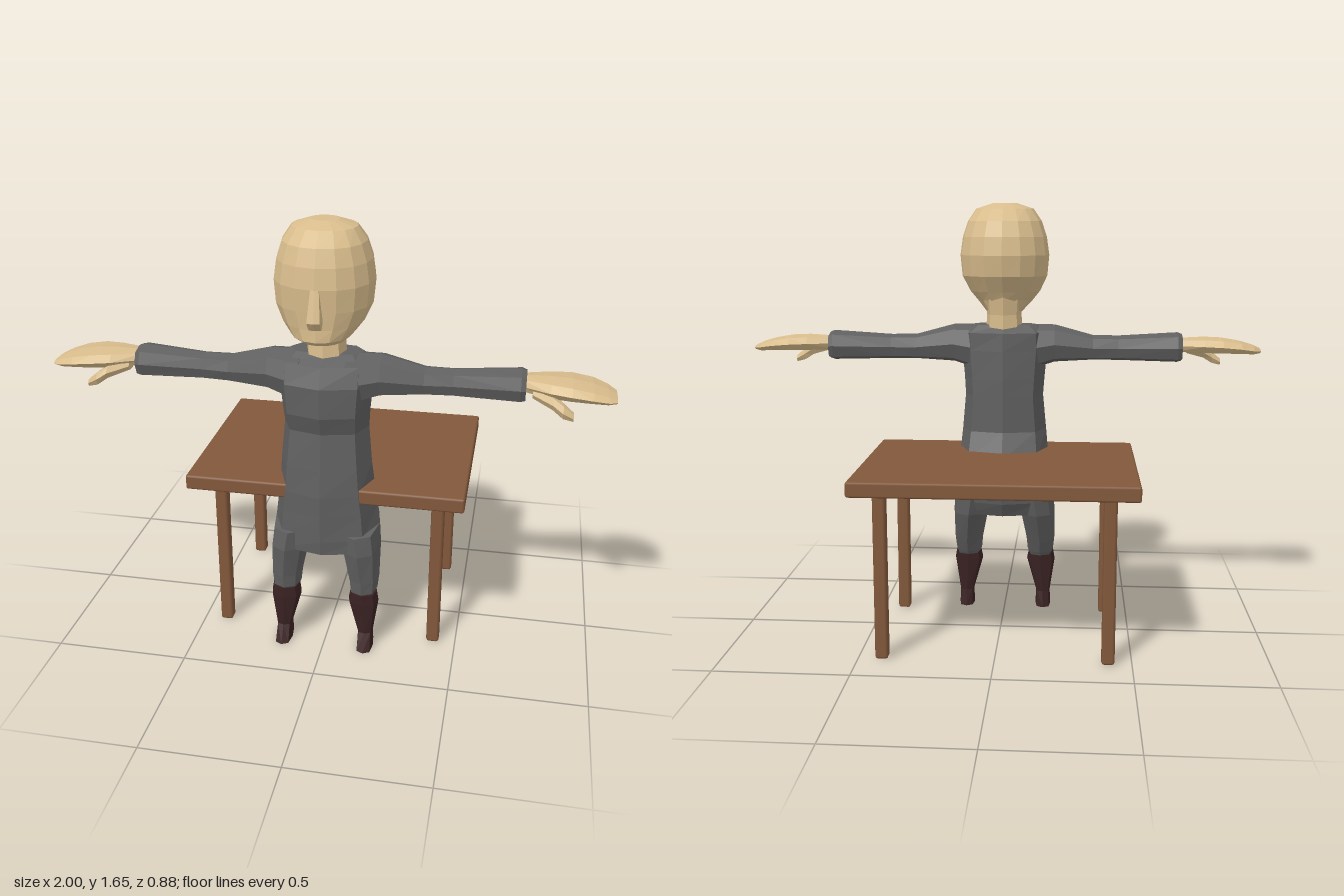
import * as THREE from 'three';
import { RoundedBoxGeometry } from 'three/addons/geometries/RoundedBoxGeometry.js';

const mat = (name, color) => {
  const m = new THREE.MeshStandardMaterial({ color });
  m.name = name;
  return m;
};

// Faceted solid through rounded sections stacked along y, lowest first.
// Section: [y, xLow, xHigh, zLow, zHigh, tilt]; power < 1 makes it boxier.
function loft(sections, sides = 8, power = 0.8) {
  const bend = (v) => Math.sign(v) * Math.pow(Math.abs(v) < 1e-6 ? 0 : Math.abs(v), power);
  const rings = sections.map(([y, x0, x1, z0, z1, tilt = 0]) =>
    Array.from({ length: sides }, (_, i) => {
      const a = (i / sides) * Math.PI * 2;
      const dz = (bend(Math.cos(a)) * (z1 - z0)) / 2;
      return [(x0 + x1) / 2 + (bend(Math.sin(a)) * (x1 - x0)) / 2, y + tilt * dz, (z0 + z1) / 2 + dz];
    }));
  const mid = ([y, x0, x1, z0, z1]) => [(x0 + x1) / 2, y, (z0 + z1) / 2];
  const bottom = mid(sections[0]);
  const top = mid(sections[sections.length - 1]);
  const last = rings[rings.length - 1];
  const pos = [];
  for (let i = 0; i < sides; i++) {
    const j = (i + 1) % sides;
    for (let k = 0; k + 1 < rings.length; k++) {
      const lo = rings[k], hi = rings[k + 1];
      pos.push(...lo[i], ...lo[j], ...hi[j], ...lo[i], ...hi[j], ...hi[i]);
    }
    pos.push(...bottom, ...rings[0][j], ...rings[0][i], ...top, ...last[i], ...last[j]);
  }
  const g = new THREE.BufferGeometry();
  g.setAttribute('position', new THREE.Float32BufferAttribute(pos, 3));
  g.computeVertexNormals();
  return g;
}

// Same solid running along +x; section: [x, yLow, yHigh, zLow, zHigh]
const loftX = (sections, sides, power) =>
  loft(sections.map(([x, y0, y1, z0, z1]) => [x, -y1, -y0, z0, z1]), sides, power).rotateZ(-Math.PI / 2);

// Copy reflected in x, with the corner order put right
function mirrorX(geometry) {
  const g = geometry.clone().scale(-1, 1, 1);
  const p = g.attributes.position;
  for (let i = 0; i < p.count; i += 3) {
    const b = [p.getX(i + 1), p.getY(i + 1), p.getZ(i + 1)];
    p.setXYZ(i + 1, p.getX(i + 2), p.getY(i + 2), p.getZ(i + 2));
    p.setXYZ(i + 2, ...b);
  }
  g.computeVertexNormals();
  return g;
}

export function createModel() {
  const model = new THREE.Group();
  model.name = 'figureAtTable';
  const skin = mat('skin', 0xd8bc8c);
  const cloth = mat('grey cloth', 0x606060);
  const wood = mat('wood', 0x82583b);
  const leather = mat('dark leather', 0x3a2223);

  const add = (name, geometry, material, parent = model) => {
    const m = new THREE.Mesh(geometry, material);
    m.name = name;
    parent.add(m);
    return m;
  };
  const pair = (name, geometry, material) => {
    add('left' + name, geometry, material);
    add('right' + name, mirrorX(geometry), material);
  };

  // Table
  const table = new THREE.Group();
  table.name = 'table';
  model.add(table);
  add('tableTop', new RoundedBoxGeometry(1.03, 0.056, 0.76, 1, 0.008), wood, table).position.set(0, 0.657, -0.06);
  for (const x of [-0.413, 0.413])
    for (const z of [-0.333, 0.198])
      add('tableLeg', new RoundedBoxGeometry(0.048, 0.62, 0.048, 1, 0.01), wood, table).position.set(x, 0.31, z);

  // Torso and hips
  add('torso', loft([
    [0.425, -0.2, 0.2, 0.09, 0.355],
    [0.48, -0.2, 0.2, 0.06, 0.36],
    [0.58, -0.19, 0.19, 0.04, 0.36],
    [0.66, -0.178, 0.178, 0.055, 0.36],
    [0.76, -0.168, 0.168, 0.1, 0.35],
    [0.9, -0.155, 0.155, 0.1, 0.335],
    [0.97, -0.16, 0.16, 0.1, 0.36],
    [1.08, -0.17, 0.17, 0.105, 0.36],
    [1.15, -0.17, 0.17, 0.11, 0.33],
    [1.18, -0.13, 0.13, 0.15, 0.27],
  ]), cloth);

  // Trouser legs and boots
  pair('Trouser', loft([
    [0.235, 0.1, 0.195, 0.185, 0.31],
    [0.25, 0.095, 0.2, 0.175, 0.33],
    [0.3, 0.09, 0.205, 0.15, 0.337],
    [0.425, 0.065, 0.206, 0.09, 0.357],
    [0.5, 0.05, 0.198, 0.075, 0.352],
  ]), cloth);
  pair('Boot', loft([
    [0, 0.128, 0.19, 0.218, 0.345],
    [0.065, 0.13, 0.187, 0.23, 0.307],
    [0.2, 0.092, 0.207, 0.218, 0.32],
    [0.24, 0.1, 0.2, 0.215, 0.32],
  ], 8, 0.65), leather);

  // Sleeves
  pair('Sleeve', loftX([
    [0.08, 0.99, 1.18, 0.13, 0.335],
    [0.2, 1.03, 1.178, 0.145, 0.305],
    [0.35, 1.04, 1.138, 0.163, 0.272],
    [0.45, 1.04, 1.137, 0.165, 0.262],
    [0.68, 1.035, 1.152, 0.14, 0.275],
    [0.697, 1.04, 1.145, 0.145, 0.27],
  ]), cloth);

  // Hands and thumbs
  pair('Hand', loftX([
    [0.68, 1.075, 1.13, 0.16, 0.25],
    [0.78, 1.07, 1.135, 0.128, 0.3],
    [0.85, 1.07, 1.132, 0.112, 0.318],
    [0.92, 1.07, 1.12, 0.115, 0.32],
    [0.97, 1.068, 1.105, 0.14, 0.308],
    [1.0, 1.072, 1.092, 0.175, 0.29],
  ]), skin);
  pair('Thumb', loftX([
    [0.72, 1.065, 1.1, 0.22, 0.27],
    [0.79, 1.043, 1.09, 0.25, 0.315],
    [0.825, 1.02, 1.07, 0.275, 0.328],
    [0.86, 1.012, 1.04, 0.285, 0.32],
  ], 6), skin);

  // Neck, head and nose
  add('neck', loft([
    [1.16, -0.072, 0.072, 0.13, 0.29],
    [1.22, -0.068, 0.068, 0.13, 0.285],
    [1.3, -0.075, 0.075, 0.115, 0.285],
  ]), skin);
  add('head', loft([
    [1.235, -0.075, 0.075, 0.14, 0.375, 0.1],
    [1.272, -0.11, 0.11, 0.125, 0.408, -0.03],
    [1.31, -0.14, 0.14, 0.105, 0.406],
    [1.37, -0.168, 0.168, 0.065, 0.41],
    [1.45, -0.175, 0.175, 0.05, 0.415],
    [1.52, -0.165, 0.165, 0.06, 0.405],
    [1.58, -0.145, 0.145, 0.085, 0.385],
    [1.627, -0.113, 0.113, 0.135, 0.335],
    [1.648, -0.05, 0.05, 0.19, 0.28],
  ], 16, 0.95), skin);
  add('nose', loft([
    [1.315, -0.022, 0.022, 0.37, 0.42],
    [1.345, -0.025, 0.025, 0.37, 0.443],
    [1.45, -0.016, 0.016, 0.37, 0.416],
  ], 8, 0.3), skin);

  return model;
}
